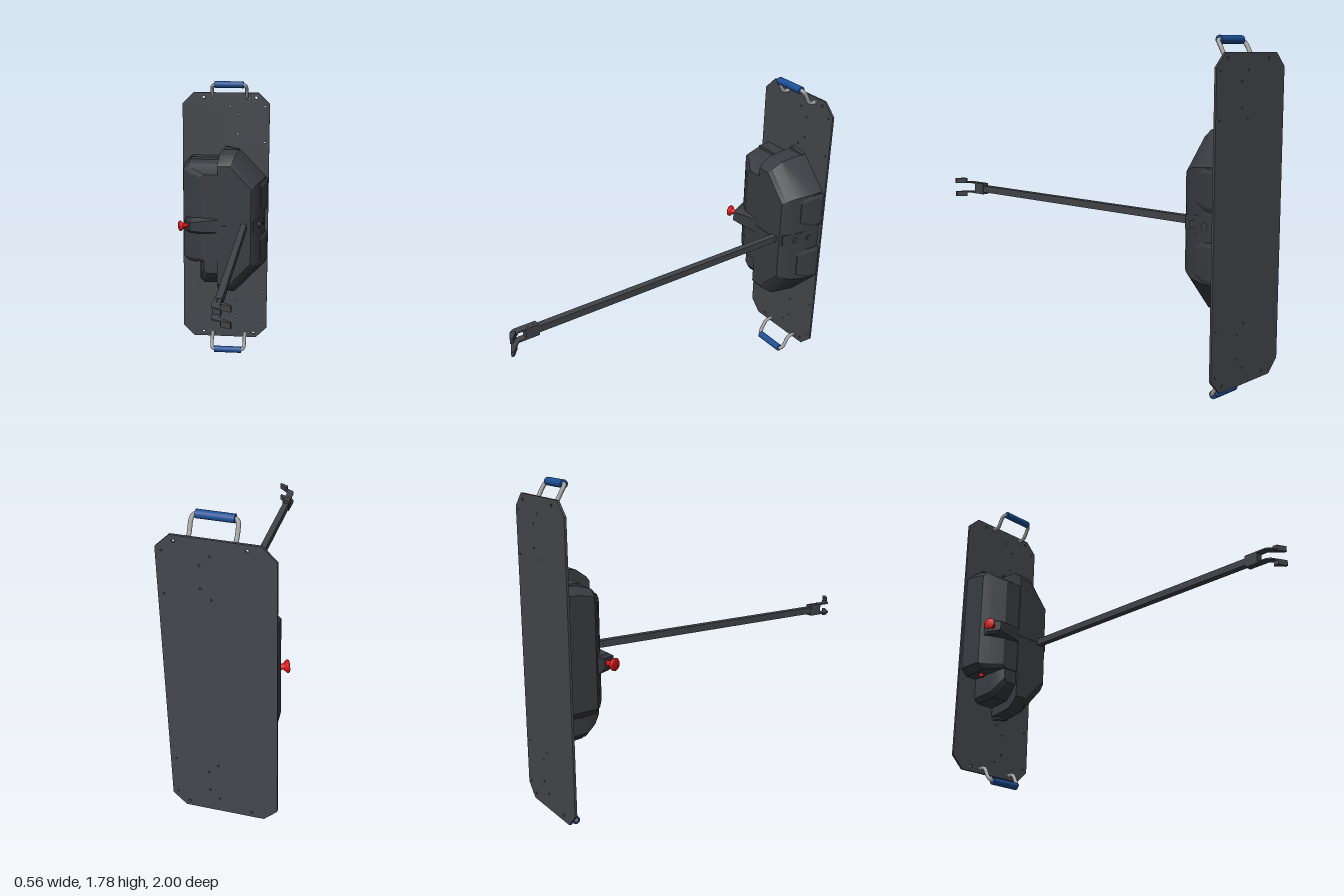
import * as THREE from 'three';
import { toCreasedNormals } from 'three/addons/utils/BufferGeometryUtils.js';

const MID = 0.8925; // height of the horizontal symmetry line
const mat = (color) => new THREE.MeshStandardMaterial({ color });
const plateMat = mat(0x44474c), shellMat = mat(0x393c41), armMat = mat(0x404348);
const steel = mat(0xa0a0a0), blue = mat(0x1c4f94), red = mat(0xd01414);

function add(parent, name, geometry, material, x = 0, y = 0, z = 0) {
  const mesh = new THREE.Mesh(geometry, material);
  mesh.name = name;
  mesh.position.set(x, y, z);
  parent.add(mesh);
  return mesh;
}

// Joins convex counter-clockwise outlines [z, [x, y], ...] from back to front.
function loft(sections) {
  const rings = sections.map(([z, ...pts]) => pts.map(([x, y]) => [x, y, z]));
  const n = rings[0].length, pos = [];
  const tri = (a, b, c) => pos.push(...a, ...b, ...c);
  for (let k = 0; k + 1 < rings.length; k++) {
    for (let i = 0; i < n; i++) {
      const j = (i + 1) % n, a = rings[k], b = rings[k + 1];
      tri(a[i], a[j], b[j]);
      tri(a[i], b[j], b[i]);
    }
  }
  const back = rings[0], front = rings[rings.length - 1];
  for (let i = 1; i < n - 1; i++) {
    tri(front[0], front[i], front[i + 1]);
    tri(back[0], back[i + 1], back[i]);
  }
  const g = new THREE.BufferGeometry();
  g.setAttribute('position', new THREE.Float32BufferAttribute(pos, 3));
  return toCreasedNormals(g, 0.35);
}

// Extrudes an outline given in x, z along y, centred on y = 0.
function slab(points, height) {
  const shape = new THREE.Shape(points.map(([x, z]) => new THREE.Vector2(x, z)));
  const g = new THREE.ExtrudeGeometry(shape, { depth: height, bevelEnabled: false });
  return g.rotateX(Math.PI / 2).translate(0, height / 2, 0);
}

function backPlate() {
  const w = 0.277, h = 0.8125, c = 0.07;
  const shape = new THREE.Shape([
    [-w + c, -h], [w - c, -h], [w, -h + c], [w, h - c],
    [w - c, h], [-w + c, h], [-w, h - c], [-w, -h + c],
  ].map(([x, y]) => new THREE.Vector2(x, y)));
  const holes = [
    [-0.143, 0.782, 0.008], [0.19, 0.782, 0.008], [0.026, 0.727, 0.005], [0.248, 0.727, 0.005],
    [0.075, 0.675, 0.005], [0.075, 0.553, 0.005], [0.026, 0.5, 0.005], [0.248, 0.5, 0.005],
  ];
  for (const [x, y, r] of holes) for (const s of [-1, 1]) {
    shape.holes.push(new THREE.Path().absarc(x, s * y, r, 0, Math.PI * 2, true));
  }
  return new THREE.ExtrudeGeometry(shape, { depth: 0.012, bevelEnabled: false, curveSegments: 6 });
}

function handle() {
  const g = new THREE.Group();
  const side = [[-0.1075, 0.788, -0.99], [-0.1075, 0.788, -0.955], [-0.1075, 0.796, -0.94],
    [-0.1075, 0.845, -0.911], [-0.102, 0.863, -0.897], [-0.088, 0.8705, -0.892]];
  const path = [...side, ...side.map(([x, y, z]) => [-x, y, z]).reverse()];
  const curve = new THREE.CatmullRomCurve3(path.map((p) => new THREE.Vector3(...p)), false, 'centripetal');
  add(g, 'handleTube', new THREE.TubeGeometry(curve, 64, 0.011, 10), steel);
  add(g, 'handleGrip', new THREE.CylinderGeometry(0.021, 0.021, 0.18, 20).rotateZ(Math.PI / 2), blue, 0, 0.8705, -0.892);
  for (const s of [-1, 1]) {
    add(g, 'handleFoot', new THREE.CylinderGeometry(0.015, 0.015, 0.008, 14).rotateX(Math.PI / 2), steel, s * 0.1075, 0.788, -0.985);
  }
  return g;
}

export function createModel() {
  const model = new THREE.Group();
  model.name = 'wallMountedArmUnit';
  add(model, 'backPlate', backPlate(), plateMat, 0, MID, -1);

  // Carrying handles at both ends
  for (const top of [true, false]) {
    const h = handle();
    h.name = top ? 'topHandle' : 'bottomHandle';
    h.position.set(0.0275, MID, 0);
    if (!top) h.rotation.z = Math.PI;
    model.add(h);
  }

  const housing = new THREE.Group();
  housing.name = 'housing';
  model.add(housing);

  // Main shell, an outline symmetric about the middle line
  const mainRing = (z, left, xTop, yTop, xSide, ySide) => {
    const up = [[xSide, ySide], [xTop, yTop], [left, yTop]];
    return [z, ...up.map(([x, y]) => [x, MID - y]).reverse(), ...up.map(([x, y]) => [x, MID + y])];
  };
  add(housing, 'mainShell', loft([
    mainRing(-0.988, -0.015, 0.09, 0.457, 0.256, 0.285),
    mainRing(-0.92, -0.02, 0.085, 0.453, 0.25, 0.28),
    mainRing(-0.825, -0.025, 0.075, 0.442, 0.222, 0.27),
    mainRing(-0.775, -0.03, 0.06, 0.405, 0.196, 0.25),
    mainRing(-0.757, -0.03, 0.045, 0.382, 0.18, 0.24),
  ]), shellMat);

  // Side shell with a sloped outer face
  const box = (z, x0, x1, y0, y1, c) => [z, [x0 + c, y0], [x1, y0], [x1, y1], [x0 + c, y1], [x0, y1 - c], [x0, y0 + c]];
  add(housing, 'sideShell', loft([
    box(-0.988, -0.262, 0, 0.635, 1.3, 0.04),
    box(-0.92, -0.26, 0, 0.637, 1.297, 0.04),
    box(-0.845, -0.255, 0, 0.642, 1.275, 0.035),
    box(-0.81, -0.212, 0, 0.648, 1.245, 0.025),
    box(-0.762, -0.135, 0, 0.66, 1.22, 0.02),
  ]), shellMat);
  add(housing, 'lowerSideShell', loft([
    box(-0.988, -0.152, 0, 0.488, 0.75, 0.025),
    box(-0.85, -0.148, 0, 0.498, 0.75, 0.025),
    box(-0.8, -0.135, 0, 0.54, 0.75, 0.02),
    box(-0.768, -0.115, 0, 0.58, 0.75, 0.02),
  ]), shellMat);
  add(housing, 'upperRib', new THREE.BoxGeometry(0.19, 0.022, 0.08), shellMat, -0.118, 1.297, -0.945);

  // Base tabs at the ends and side bulges near the plate
  for (const s of [-1, 1]) {
    const tab = add(housing, 'endTab', new THREE.BoxGeometry(0.095, 0.05, 0.025), shellMat, 0.04, MID + s * 0.443, -0.975);
    tab.rotation.z = -s * 0.2;
    const bulge = (z, x, d) => [z, [0.18, MID + s * 0.175 - d], [x - 0.008, MID + s * 0.175 - d],
      [x, MID + s * 0.175 - d + 0.02], [x, MID + s * 0.175 + d - 0.02], [x - 0.008, MID + s * 0.175 + d], [0.18, MID + s * 0.175 + d]];
    add(housing, 'sideBulge', loft([bulge(-0.988, 0.272, 0.103), bulge(-0.93, 0.264, 0.1), bulge(-0.86, 0.236, 0.08)]), shellMat);
  }

  // Seam and hinge details on the middle line
  add(housing, 'seam', new THREE.BoxGeometry(0.15, 0.006, 0.006), shellMat, 0.045, MID, -0.757);
  add(housing, 'hingeBlock', loft([
    box(-0.95, 0.16, 0.252, MID - 0.05, MID + 0.05, 0.01),
    box(-0.86, 0.15, 0.238, MID - 0.045, MID + 0.045, 0.01),
    box(-0.768, 0.14, 0.198, MID - 0.035, MID + 0.035, 0.01),
  ]), shellMat);
  for (const [x, z] of [[0.229, -0.84], [0.246, -0.925]]) {
    add(housing, 'hingeBolt', new THREE.CylinderGeometry(0.019, 0.019, 0.014, 18).rotateZ(Math.PI / 2), shellMat, x, MID, z);
  }

  // Knob boss, a wedge tapering into the front face
  const bossRing = (x, zFront, half) => [x, zFront, half];
  const bossRings = [bossRing(-0.236, -0.795, 0.045), bossRing(-0.2, -0.723, 0.045), bossRing(-0.11, -0.74, 0.055), bossRing(0, -0.763, 0.06)];
  const boss = loft(bossRings.map(([x, z, h]) => [x, [-h, -0.9], [h, -0.9], [h, z - 0.03], [h - 0.018, z], [-h + 0.018, z], [-h, z - 0.03]]));
  // Turn the loft axis into x, its first outline axis into y and its second into z
  boss.applyMatrix4(new THREE.Matrix4().set(0, 0, 1, 0, 1, 0, 0, MID, 0, 1, 0, 0, 0, 0, 0, 1));
  add(housing, 'knobBoss', boss, shellMat);

  // Mushroom-shaped knob pointing away from the boss
  const knobProfile = [[0, -0.03], [0.015, -0.03], [0.015, 0], [0.022, 0.006], [0.032, 0.016], [0.033, 0.024], [0.028, 0.03], [0, 0.032]];
  const knob = add(model, 'redKnob', new THREE.LatheGeometry(knobProfile.map(([x, y]) => new THREE.Vector2(x, y)), 24), red, -0.244, MID, -0.759);
  knob.quaternion.setFromUnitVectors(new THREE.Vector3(0, 1, 0), new THREE.Vector3(-0.92, 0, 0.39).normalize());
  add(model, 'redPlug', new THREE.CylinderGeometry(0.014, 0.014, 0.02, 14), red, -0.18, 0.632, -0.9);

  // Long arm with a forked, hooked end
  const arm = new THREE.Group();
  arm.name = 'arm';
  arm.position.y = MID;
  model.add(arm);
  add(arm, 'armBar', new THREE.BoxGeometry(0.036, 0.038, 1.75), armMat, 0.137, 0, 0.005);
  add(arm, 'forkSleeve', new THREE.BoxGeometry(0.04, 0.062, 0.075), armMat, 0.137, 0, 0.845);
  const prong = [[0.117, 0.81], [0.157, 0.81], [0.157, 0.925], [0.175, 0.945], [0.217, 0.985],
    [0.213, 0.998], [0.16, 0.972], [0.128, 0.955], [0.117, 0.935]];
  const tip = [[0.162, 0.95], [0.172, 0.945], [0.217, 0.985], [0.213, 1], [0.165, 0.975]];
  for (const s of [-1, 1]) {
    add(arm, 'forkProng', slab(prong, 0.007), armMat, 0, s * 0.029, 0);
    add(arm, 'forkHook', slab(tip, 0.03), armMat, 0, s * 0.04, 0);
    add(arm, 'forkRivet', new THREE.CylinderGeometry(0.006, 0.006, 0.004, 10), armMat, 0.137, s * 0.033, 0.83);
    add(arm, 'forkRivet', new THREE.CylinderGeometry(0.006, 0.006, 0.004, 10), armMat, 0.137, s * 0.033, 0.865);
  }
  return model;
}
